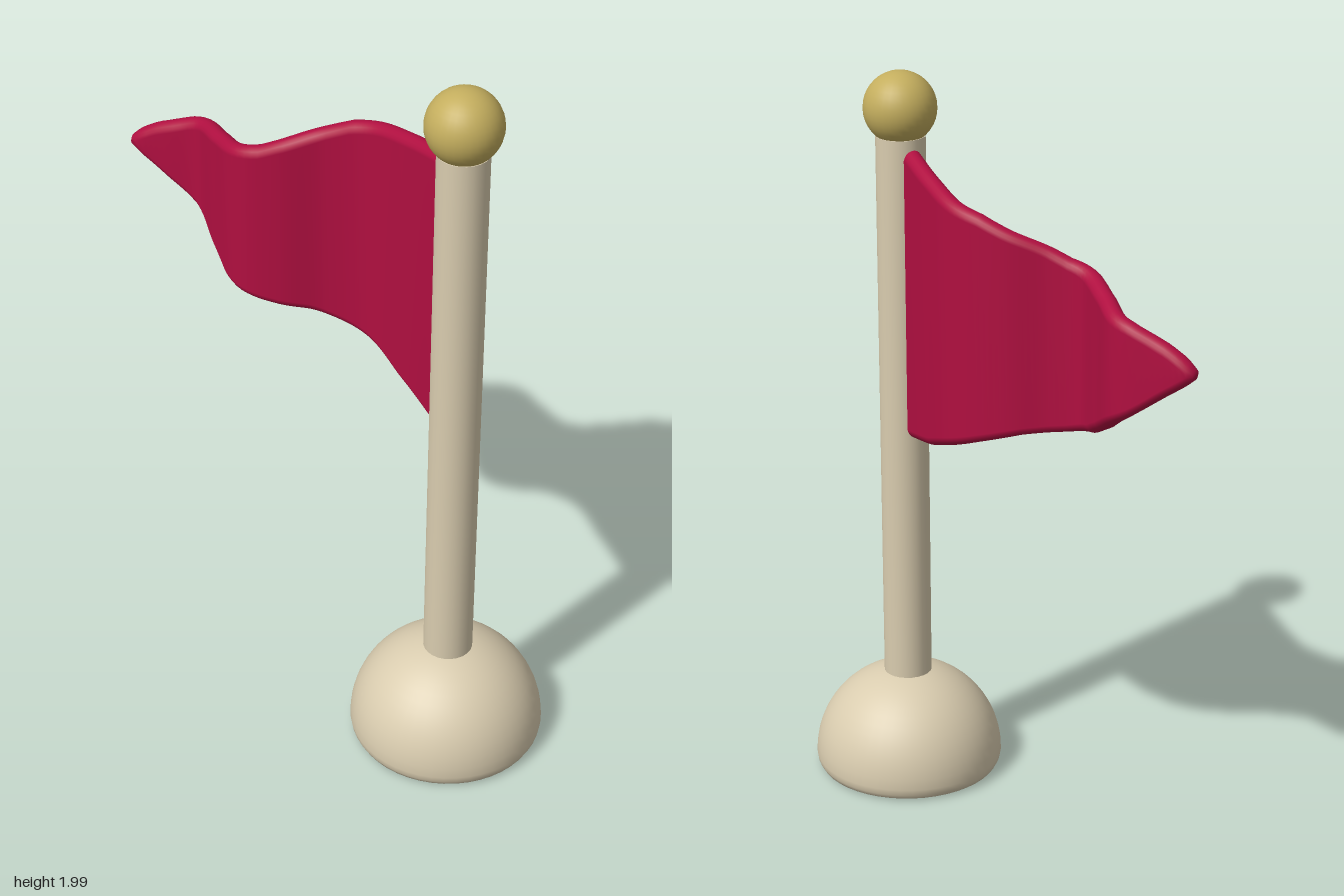
import * as THREE from 'three';

const POLE_X = 0.403;

const paint = (name, color) => {
  const m = new THREE.MeshStandardMaterial({ color });
  m.name = name;
  return m;
};

// Pennant: rounded slab sections swept along a wavy path, tapering to a blunt tip
function pennantGeometry() {
  // x, z of the path
  const path = new THREE.CatmullRomCurve3([
    [0.37, 0], [0.2, -0.06], [0.06, -0.09], [-0.06, -0.05], [-0.16, 0.025], [-0.25, 0.058],
    [-0.36, 0.015], [-0.47, -0.035], [-0.57, -0.01], [-0.667, 0.022],
  ].map(([x, z]) => new THREE.Vector3(x, 0, z)), false, 'centripetal');
  // x, top y, bottom y
  const edges = [
    [0.37, 1.81, 1.0], [0.2, 1.772, 1.04], [0.0, 1.725, 1.115], [-0.1, 1.68, 1.15],
    [-0.2, 1.632, 1.17], [-0.3, 1.607, 1.195], [-0.4, 1.586, 1.25], [-0.5, 1.562, 1.315],
    [-0.6, 1.522, 1.392], [-0.645, 1.495, 1.425], [-0.667, 1.472, 1.445],
  ];
  const edgeAt = (x, k) => {
    let i = 0;
    while (i < edges.length - 2 && x < edges[i + 1][0]) i++;
    const f = (edges[i][0] - x) / (edges[i][0] - edges[i + 1][0]);
    return THREE.MathUtils.lerp(edges[i][k], edges[i + 1][k], THREE.MathUtils.clamp(f, 0, 1));
  };
  const steps = 72, sides = 20, pos = [], index = [];
  for (let i = 0; i <= steps; i++) {
    const u = i / steps;
    const p = path.getPointAt(u), t = path.getTangentAt(u);
    const top = edgeAt(p.x, 1), bottom = edgeAt(p.x, 2);
    const half = 0.026 * (i === steps ? 0.6 : i === steps - 1 ? 0.88 : 1);
    const r = Math.min(0.03, (top - bottom) / 2);
    for (let j = 0; j < sides; j++) {
      const a = ((j + 0.5) / sides) * Math.PI * 2;
      const c = Math.cos(a) * half, s = Math.sin(a);
      const y = s > 0 ? top - r + s * r : bottom + r + s * r;
      pos.push(p.x + t.z * c, y, p.z - t.x * c);
    }
  }
  for (let i = 0; i < steps; i++) {
    for (let j = 0; j < sides; j++) {
      const k = (j + 1) % sides;
      const a = i * sides + j, b = i * sides + k;
      index.push(a, b, b + sides, a, b + sides, a + sides);
    }
  }
  // Closed ends
  const last = steps * sides;
  for (let j = 1; j < sides - 1; j++) {
    index.push(last, last + j, last + j + 1);
    index.push(0, j + 1, j);
  }
  const g = new THREE.BufferGeometry();
  g.setAttribute('position', new THREE.Float32BufferAttribute(pos, 3));
  g.setIndex(index);
  g.computeVertexNormals();
  return g;
}

// Dome foot with a softened lower rim and flat underside
function baseGeometry() {
  const pts = [[0, 0.006], [0.235, 0.006], [0.235, 0.006], [0.25, 0.012], [0.257, 0.025]];
  for (let i = 0; i <= 14; i++) {
    const a = (i / 14) * Math.PI / 2;
    pts.push([0.26 * Math.cos(a), 0.042 + 0.258 * Math.sin(a)]);
  }
  return new THREE.LatheGeometry(pts.map(([x, y]) => new THREE.Vector2(Math.max(x, 0), y)), 48);
}

export function createModel() {
  const group = new THREE.Group();
  group.name = 'pennantOnPole';
  const cream = paint('cream', 0xd9ccaf);
  const gold = paint('gold', 0xc4ae5e);
  const crimson = paint('crimson', 0xb00f40);

  const add = (name, geometry, material, x = 0, y = 0) => {
    const mesh = new THREE.Mesh(geometry, material);
    mesh.name = name;
    mesh.position.set(x, y, 0);
    group.add(mesh);
  };

  add('base', baseGeometry(), cream, POLE_X);
  add('pole', new THREE.CylinderGeometry(0.066, 0.066, 1.56, 24), cream, POLE_X, 1.05);
  add('finial', new THREE.SphereGeometry(0.097, 32, 20), gold, POLE_X, 1.903);
  add('pennant', pennantGeometry(), crimson);
  return group;
}
